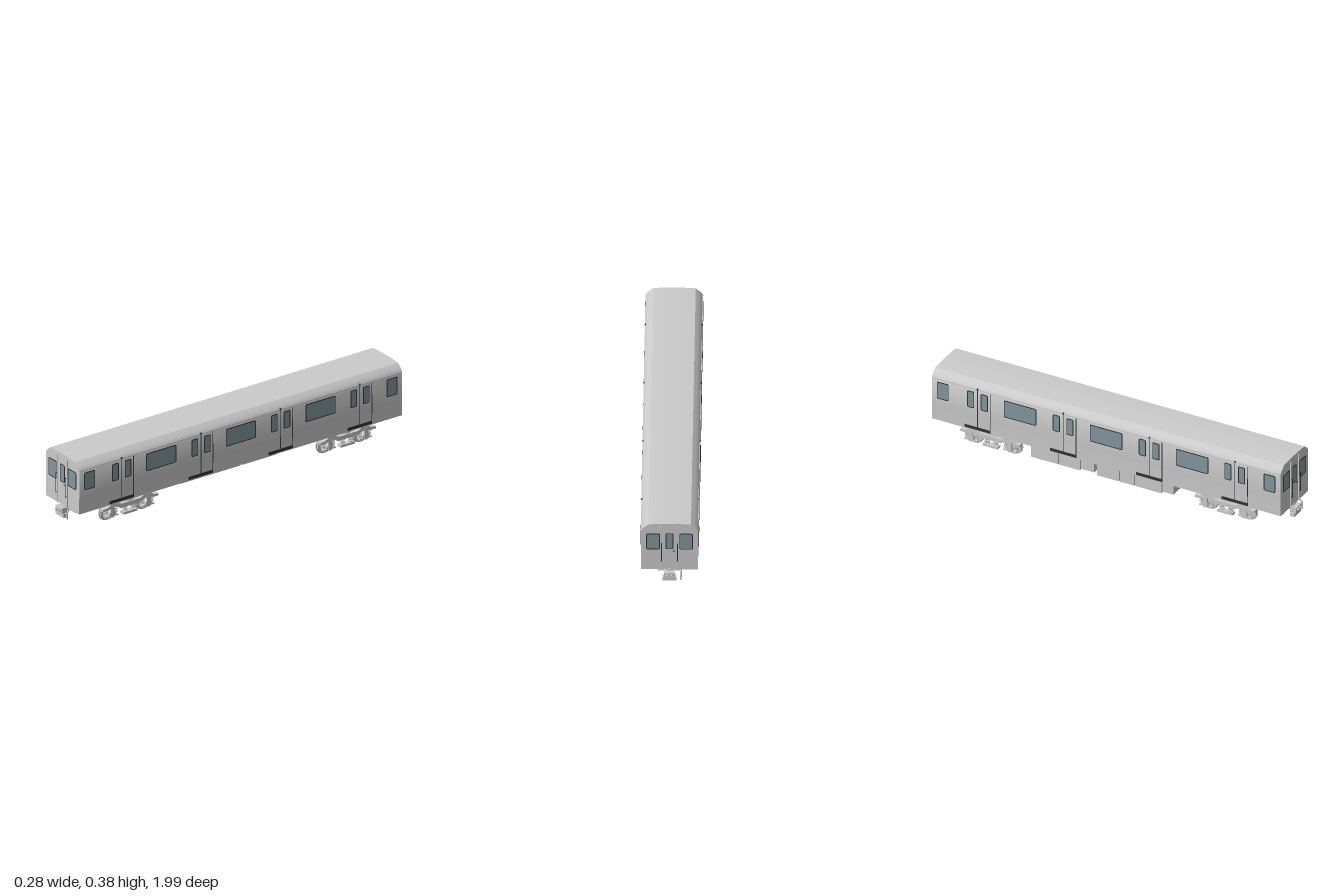
import * as THREE from 'three';
import { toCreasedNormals } from 'three/addons/utils/BufferGeometryUtils.js';

const paint = (color) => new THREE.MeshStandardMaterial({ color });
const grey = paint(0xcccccc), dark = paint(0x303234), glass = paint(0x8297a0);

function add(parent, name, geometry, material = grey, x = 0, y = 0, z = 0) {
  const mesh = new THREE.Mesh(geometry, material);
  mesh.name = name;
  mesh.position.set(x, y, z);
  parent.add(mesh);
  return mesh;
}

// Box given by its limits on each axis
function box(parent, name, [x0, x1], [y0, y1], [z0, z1], material = grey) {
  return add(parent, name, new THREE.BoxGeometry(x1 - x0, y1 - y0, z1 - z0), material,
    (x0 + x1) / 2, (y0 + y1) / 2, (z0 + z1) / 2);
}

// Cylinder lying along x, y or z
function rod(parent, name, axis, r0, r1, length, x, y, z, material = grey, sides = 24) {
  const g = new THREE.CylinderGeometry(r0, r1, length, sides);
  if (axis === 'x') g.rotateZ(-Math.PI / 2);
  if (axis === 'z') g.rotateX(Math.PI / 2);
  return add(parent, name, g, material, x, y, z);
}

function roundedRect(w, h, r, Type = THREE.Shape) {
  const s = new Type(), a = w / 2, b = h / 2;
  s.absarc(a - r, b - r, r, 0, Math.PI / 2);
  s.absarc(-a + r, b - r, r, Math.PI / 2, Math.PI);
  s.absarc(-a + r, -b + r, r, Math.PI, Math.PI * 1.5);
  s.absarc(a - r, -b + r, r, Math.PI * 1.5, Math.PI * 2);
  s.closePath();
  return s;
}

const extrude = (shape, depth) =>
  new THREE.ExtrudeGeometry(shape, { depth, bevelEnabled: false, curveSegments: 6 });

// Glazed window facing +z with a dark rubber surround
function addWindow(parent, name, w, h, x, y, z) {
  const g = new THREE.Group();
  g.name = name;
  g.position.set(x, y, z);
  const frame = roundedRect(w, h, 0.007);
  frame.holes.push(roundedRect(w - 0.008, h - 0.008, 0.004, THREE.Path));
  add(g, 'windowFrame', extrude(frame, 0.002), dark);
  add(g, 'windowGlass', extrude(roundedRect(w - 0.006, h - 0.006, 0.005), 0.001), glass);
  parent.add(g);
}

function addBody(parent) {
  const half = [[0.137, 0.108], [0.137, 0.18], [0.1382, 0.2], [0.1382, 0.338], [0.133, 0.348],
    [0.12, 0.362], [0.103, 0.376], [0.06, 0.379], [0, 0.38]];
  const pts = [...half, ...half.slice(0, -1).reverse().map(([x, y]) => [-x, y])];
  const shape = new THREE.Shape(pts.map(([x, y]) => new THREE.Vector2(x, y)));
  const g = toCreasedNormals(extrude(shape, 1.922), 0.5);
  add(parent, 'bodyShell', g.translate(0, 0, -0.961));
}

// One long wall, local +z outward
function addSide(parent) {
  const side = new THREE.Group();
  side.name = 'sideFittings';
  side.rotation.y = Math.PI / 2;
  parent.add(side);
  const wall = 0.1382, yc = 0.277;
  for (const x of [-0.474, 0, 0.474]) addWindow(side, 'wideWindow', 0.178, 0.094, x, yc, wall);
  for (const x of [-0.9, 0.9]) addWindow(side, 'endWindow', 0.064, 0.094, x, yc, wall);
  for (const x of [-0.709, -0.237, 0.237, 0.709]) {
    for (const s of [-1, 1]) addWindow(side, 'doorWindow', 0.038, 0.092, x + s * 0.0375, yc, wall);
    box(side, 'doorSeam', [x - 0.0015, x + 0.0015], [0.13, 0.338], [wall - 0.002, wall + 0.0006], dark);
    box(side, 'doorEdge', [x + 0.069, x + 0.072], [0.12, 0.334], [wall - 0.002, wall + 0.0006], dark);
    rod(side, 'doorHandrail', 'y', 0.002, 0.002, 0.1, x + 0.071, 0.218, wall + 0.001, dark, 8);
    box(side, 'doorSill', [x - 0.072, x + 0.072], [0.114, 0.129], [0.134, 0.1395], dark);
    add(side, 'doorLamp', new THREE.SphereGeometry(0.005, 12, 8), dark, x, 0.342, 0.137);
  }
  box(side, 'rainGutter', [-0.958, 0.958], [0.337, 0.341], [0.135, 0.1395]);
}

// End wall with gangway door
function addEnd(parent) {
  const face = 0.961;
  for (const s of [-1, 1]) {
    addWindow(parent, 'cabWindow', 0.066, 0.094, s * 0.08, 0.275, face);
    box(parent, 'doorPost', [s * 0.04 - 0.004, s * 0.04 + 0.004], [0.113, 0.363], [face - 0.002, face + 0.005]);
    rod(parent, 'endHandrail', 'y', 0.002, 0.002, 0.106, s * 0.039, 0.217, face + 0.012, dark, 8);
    for (const y of [0.167, 0.267])
      rod(parent, 'handrailBracket', 'z', 0.002, 0.002, 0.012, s * 0.039, y, face + 0.006, dark, 8);
  }
  addWindow(parent, 'endDoorWindow', 0.038, 0.094, 0, 0.277, face);
  box(parent, 'doorHandle', [0.013, 0.026], [0.219, 0.222], [face, face + 0.005], dark);
}

function addCoupler(parent) {
  const c = new THREE.Group();
  c.name = 'coupler';
  parent.add(c);
  box(c, 'drawbar', [-0.012, 0.012], [0.078, 0.1], [0.84, 0.965]);
  box(c, 'couplerMount', [-0.055, 0.055], [0.088, 0.11], [0.85, 0.89]);
  box(c, 'couplerHead', [-0.027, 0.027], [0.074, 0.104], [0.958, 0.985]);
  rod(c, 'couplerCollar', 'z', 0.026, 0.026, 0.014, 0, 0.086, 0.957);
  box(c, 'contactBox', [-0.034, 0.034], [0.055, 0.075], [0.955, 0.98]);
  for (const x of [-0.012, 0.01]) {
    add(c, 'couplerRing', new THREE.TorusGeometry(0.009, 0.002, 8, 20), grey, x, 0.09, 0.986);
    rod(c, 'couplerPin', 'z', 0.004, 0.006, 0.015, x, 0.09, 0.9885);
  }
  const hose = new THREE.CatmullRomCurve3([[0.05, 0.108, 0.93], [0.055, 0.1, 0.965],
    [0.055, 0.08, 0.974], [0.054, 0.055, 0.972]].map((p) => new THREE.Vector3(...p)));
  add(c, 'airHose', new THREE.TubeGeometry(hose, 16, 0.004, 8));
  box(c, 'hoseBracket', [-0.06, 0.06], [0.078, 0.084], [0.9, 0.93]);
}

function springGeometry(radius, height, turns) {
  const pts = [];
  for (let i = 0; i <= turns * 8; i++) {
    const a = (i / 8) * Math.PI * 2;
    pts.push(new THREE.Vector3(radius * Math.cos(a), height * (i / (turns * 8) - 0.5), radius * Math.sin(a)));
  }
  return new THREE.TubeGeometry(new THREE.CatmullRomCurve3(pts), turns * 12, 0.0026, 6);
}

function addBogie(parent, z) {
  const b = new THREE.Group();
  b.name = 'bogie';
  b.position.z = z;
  parent.add(b);
  // Wheel profile: tread, flange and dished hub
  const profile = [[0.006, -0.007], [0.014, -0.007], [0.018, -0.003], [0.038, -0.003], [0.04, -0.006],
    [0.048, -0.006], [0.048, -0.003], [0.044, -0.002], [0.043, 0.006], [0.037, 0.006], [0.034, 0.002],
    [0.018, 0.003], [0.014, 0.009], [0.006, 0.009]].map(([r, x]) => new THREE.Vector2(r, x));
  const wheel = toCreasedNormals(new THREE.LatheGeometry(profile, 36), 0.5);
  // Side frame: beam dropping in the middle and at both ends
  const top = [[0.165, 0.088], [0.14, 0.09], [0.115, 0.103], [0.08, 0.103], [0.055, 0.092], [0, 0.092]];
  const low = [[0, 0.07], [0.06, 0.07], [0.085, 0.085], [0.11, 0.085], [0.135, 0.076], [0.165, 0.076]];
  const flip = (list) => list.slice().reverse().map(([u, v]) => [-u, v]);
  const outline = [...top, ...flip(top).slice(1), ...flip(low), ...low.slice(1)];
  const frame = extrude(new THREE.Shape(outline.map(([u, v]) => new THREE.Vector2(u, v))), 0.03);
  frame.rotateY(Math.PI / 2).translate(-0.015, 0, 0);
  const spring = springGeometry(0.011, 0.038, 4);

  for (const az of [-0.107, 0.107]) {
    rod(b, 'axle', 'x', 0.009, 0.009, 0.24, 0, 0.048, az);
    rod(b, 'tractionMotor', 'x', 0.022, 0.022, 0.075, 0, 0.06, az * 0.55);
    for (const s of [-1, 1]) {
      const w = add(b, 'wheel', wheel, grey, s * 0.08, 0.048, az);
      w.rotation.z = -s * Math.PI / 2;
      rod(b, 'axleBox', 'x', 0.018, 0.018, 0.026, s * 0.115, 0.05, az);
      box(b, 'axleBoxArm', [s * 0.113 - 0.012, s * 0.113 + 0.012], [0.036, 0.042], [az - 0.036, az + 0.036]);
      box(b, 'axleBoxGuide', [s * 0.127 - 0.003, s * 0.127 + 0.003], [0.038, 0.09], [az - 0.012, az + 0.012]);
      for (const dz of [-0.027, 0.027]) add(b, 'axleSpring', spring, grey, s * 0.108, 0.061, az + dz);
    }
  }
  for (const s of [-1, 1]) {
    add(b, 'sideFrame', frame, grey, s * 0.114, 0, 0);
    box(b, 'springPlank', [s * 0.112 - 0.014, s * 0.112 + 0.014], [0.028, 0.04], [-0.042, 0.042]);
    for (const dz of [-0.024, 0.024]) add(b, 'bolsterSpring', spring, grey, s * 0.112, 0.058, dz);
    rod(b, 'airSpring', 'y', 0.03, 0.034, 0.02, s * 0.09, 0.1, 0);
    rod(b, 'frameCrossTube', 'x', 0.009, 0.009, 0.22, 0, 0.092, s * 0.05);
  }
  box(b, 'bolster', [-0.115, 0.115], [0.074, 0.094], [-0.03, 0.03]);
  rod(b, 'centrePivot', 'y', 0.025, 0.025, 0.03, 0, 0.1, 0);
}

// Equipment cases: [zFront, zBack, bottom] in two rows
function addEquipment(parent) {
  const rows = [
    { x: [-0.01, 0.05], cases: [[0.41, 0.3, 0.06], [0.294, 0.15, 0.055], [0.144, -0.06, 0.055],
      [-0.076, -0.28, 0.055], [-0.32, -0.425, 0.075]] },
    { x: [-0.12, -0.04], cases: [[0.36, 0.3, 0.048], [0.294, 0.15, 0.037], [0.144, 0.065, 0.037],
      [0.06, -0.06, 0.037], [-0.076, -0.15, 0.048], [-0.155, -0.27, 0.037], [-0.276, -0.425, 0.037]] },
  ];
  for (const { x, cases } of rows)
    for (const [z1, z0, y0] of cases) box(parent, 'equipmentCase', x, [y0, 0.109], [z0, z1]);
}

export function createModel() {
  const car = new THREE.Group();
  car.name = 'railCar';
  const inner = new THREE.Group();
  inner.name = 'carAssembly';
  inner.position.z = -0.004;
  car.add(inner);
  addBody(inner);
  addEquipment(inner);
  // Both halves are the same, turned about the vertical
  for (const turn of [0, Math.PI]) {
    const half = new THREE.Group();
    half.name = turn ? 'rearHalf' : 'frontHalf';
    half.rotation.y = turn;
    inner.add(half);
    addSide(half);
    addEnd(half);
    addCoupler(half);
    addBogie(half, 0.647);
  }
  return car;
}
